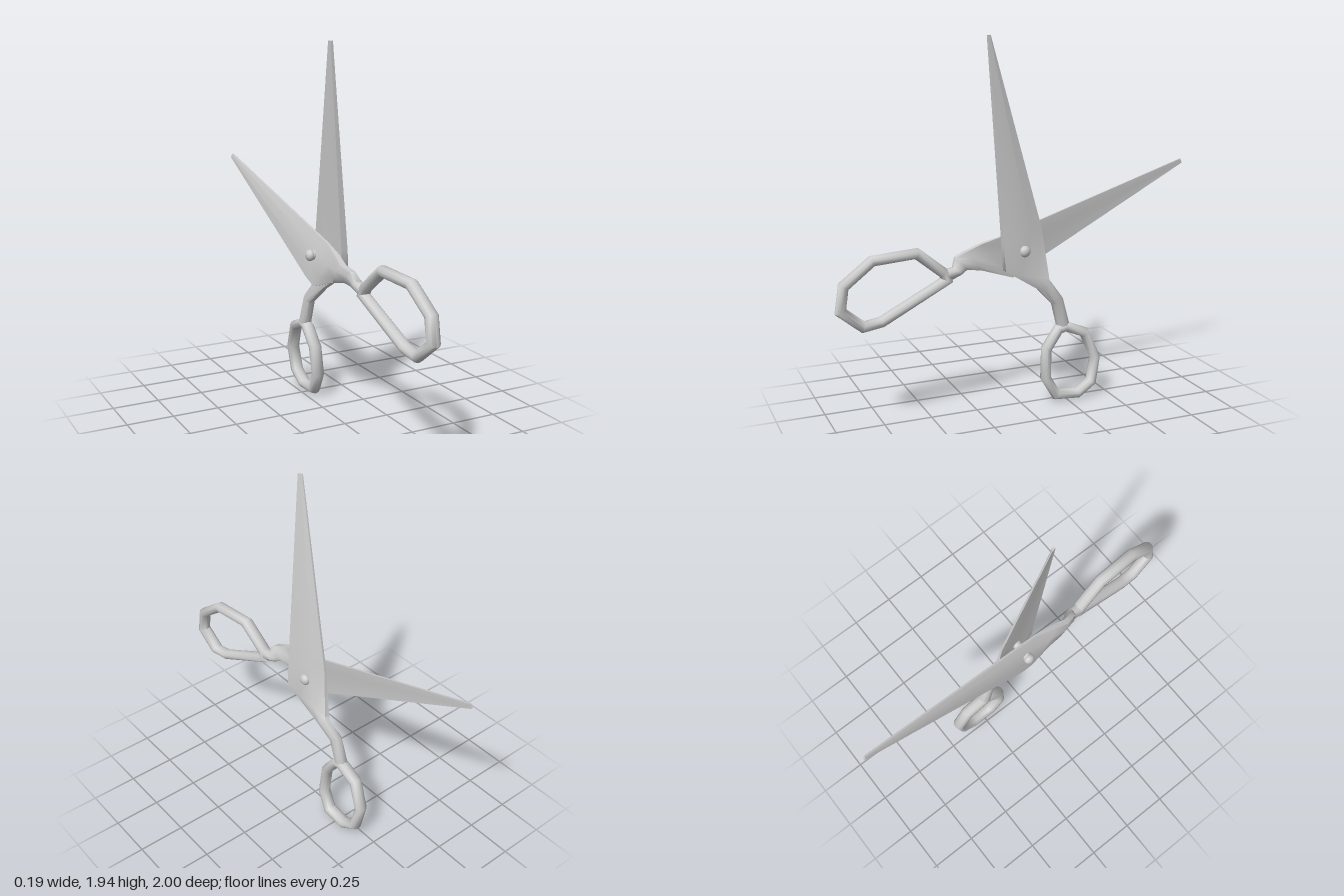
import * as THREE from 'three';
import { toCreasedNormals } from 'three/addons/utils/BufferGeometryUtils.js';

const material = new THREE.MeshStandardMaterial({ color: 0xcccccc });

// Skins a list of equal-sized rings of [x, y, z] points
function loft(name, rings, closed = false) {
  const n = rings[0].length, count = rings.length;
  const positions = rings.flat(2), index = [];
  for (let i = 0; i < (closed ? count : count - 1); i++) {
    const k = (i + 1) % count;
    for (let j = 0; j < n; j++) {
      const m = (j + 1) % n;
      index.push(i * n + j, k * n + j, i * n + m, k * n + j, k * n + m, i * n + m);
    }
  }
  if (!closed) {
    const last = (count - 1) * n;
    for (let j = 1; j < n - 1; j++) {
      index.push(0, j, j + 1, last, last + j + 1, last + j);
    }
  }
  const geometry = new THREE.BufferGeometry();
  geometry.setAttribute('position', new THREE.Float32BufferAttribute(positions, 3));
  geometry.setIndex(index);
  const mesh = new THREE.Mesh(toCreasedNormals(geometry.toNonIndexed(), 1), material);
  mesh.name = name;
  return mesh;
}

// Blade section: cutting edge and back edge as [x, y, z], their thicknesses,
// and how far the middle bulges on the inner and outer face
function bladeRing(side, [c, b, tc, tb, bulgeIn, bulgeOut]) {
  const point = (t, offset) => [
    c[0] + (b[0] - c[0]) * t + side * offset,
    c[1] + (b[1] - c[1]) * t,
    c[2] + (b[2] - c[2]) * t,
  ];
  const tm = (tc + tb) / 4;
  return [
    point(0, -tc / 2), point(0.3, -tm - bulgeIn), point(0.7, -tm - bulgeIn), point(1, -tb / 2),
    point(1, tb / 2), point(0.7, tm + bulgeOut), point(0.3, tm + bulgeOut), point(0, tc / 2),
  ];
}

// Finger loop: closed, angular path of [y, z] points with mitred oval sections
function fingerLoop(name, path, xAt) {
  const n = path.length;
  const unit = (a, b) => new THREE.Vector2(b[0] - a[0], b[1] - a[1]).normalize();
  const rings = path.map((p, i) => {
    const before = unit(path[(i + n - 1) % n], p);
    const after = unit(p, path[(i + 1) % n]);
    const t = before.clone().add(after).normalize();
    const mitre = Math.min(1 / Math.max(t.dot(after), 0.1), 1.3);
    return Array.from({ length: 10 }, (_, j) => {
      const a = (j / 10) * Math.PI * 2;
      const r = 0.027 * mitre * Math.cos(a);
      return [xAt(p[0], p[1]) + 0.035 * Math.sin(a), p[0] + t.y * r, p[1] - t.x * r];
    });
  });
  return loft(name, rings, true);
}

export function createModel() {
  const model = new THREE.Group();
  model.name = 'scissors';

  // Upright half: blade running down into its neck
  const uprightSections = [
    [[-0.042, 1.95, 0.145], [-0.036, 1.95, 0.165], 0.008, 0.012, 0, 0.002],
    [[0.02, 0.97, -0.105], [0.06, 0.9, 0.126], 0.012, 0.036, 0, 0.008],
    [[0.035, 0.69, -0.142], [0.068, 0.77, 0.12], 0.028, 0.04, 0, 0.006],
    [[0.045, 0.67, -0.155], [0.052, 0.65, -0.07], 0.03, 0.03, 0.008, 0.012],
    [[0.022, 0.58, -0.225], [0.022, 0.55, -0.17], 0.03, 0.03, 0.014, 0.014],
    [[0.015, 0.43, -0.268], [0.015, 0.415, -0.205], 0.03, 0.03, 0.016, 0.016],
  ];
  const upright = new THREE.Group();
  upright.name = 'uprightHalf';
  upright.add(loft('uprightBlade', uprightSections.map((s) => bladeRing(1, s))));
  upright.add(fingerLoop('smallFingerLoop', [
    [0.415, -0.25], [0.37, -0.36], [0.23, -0.421], [0.095, -0.395], [0.04, -0.31],
    [0.05, -0.185], [0.15, -0.127], [0.305, -0.136], [0.405, -0.21],
  ], (y) => 0.049 - 0.078 * y));

  // Slanted half: blade, neck and larger loop
  const slantedSections = [
    [[-0.08, 1.262, -0.99], [-0.083, 1.238, -1.0], 0.008, 0.012, 0, 0.002],
    [[-0.015, 0.935, 0.09], [-0.064, 0.74, -0.04], 0.012, 0.034, 0, 0.008],
    [[-0.028, 0.9, 0.21], [-0.052, 0.7, 0.03], 0.028, 0.036, 0, 0.006],
    [[-0.036, 0.867, 0.29], [-0.036, 0.76, 0.21], 0.03, 0.03, 0.01, 0.012],
    [[-0.018, 0.845, 0.355], [-0.018, 0.777, 0.295], 0.03, 0.03, 0.014, 0.014],
    [[0.004, 0.797, 0.375], [0.004, 0.762, 0.33], 0.03, 0.03, 0.016, 0.016],
    [[0.01, 0.79, 0.44], [0.01, 0.735, 0.4], 0.03, 0.03, 0.016, 0.016],
  ];
  const slanted = new THREE.Group();
  slanted.name = 'slantedHalf';
  slanted.add(loft('slantedBlade', slantedSections.map((s) => bladeRing(-1, s))));
  slanted.add(fingerLoop('largeFingerLoop', [
    [0.78, 0.43], [0.895, 0.57], [0.883, 0.8], [0.773, 0.948], [0.65, 0.967],
    [0.557, 0.855], [0.57, 0.76], [0.74, 0.41],
  ], (y, z) => 0.01 + (z - 0.4) * 0.073));

  // Pivot pin with a domed head on each side
  const rivet = new THREE.Group();
  rivet.name = 'rivet';
  const pin = new THREE.Mesh(new THREE.CylinderGeometry(0.026, 0.026, 0.14, 16), material);
  pin.name = 'rivetPin';
  pin.rotation.z = Math.PI / 2;
  pin.position.x = -0.007;
  rivet.add(pin);
  for (const x of [0.064, -0.076]) {
    const head = new THREE.Mesh(new THREE.SphereGeometry(0.03, 16, 12), material);
    head.name = 'rivetHead';
    head.scale.x = 0.8;
    head.position.x = x;
    rivet.add(head);
  }
  rivet.position.set(0, 0.86, 0.005);

  model.add(upright, slanted, rivet);
  return model;
}
